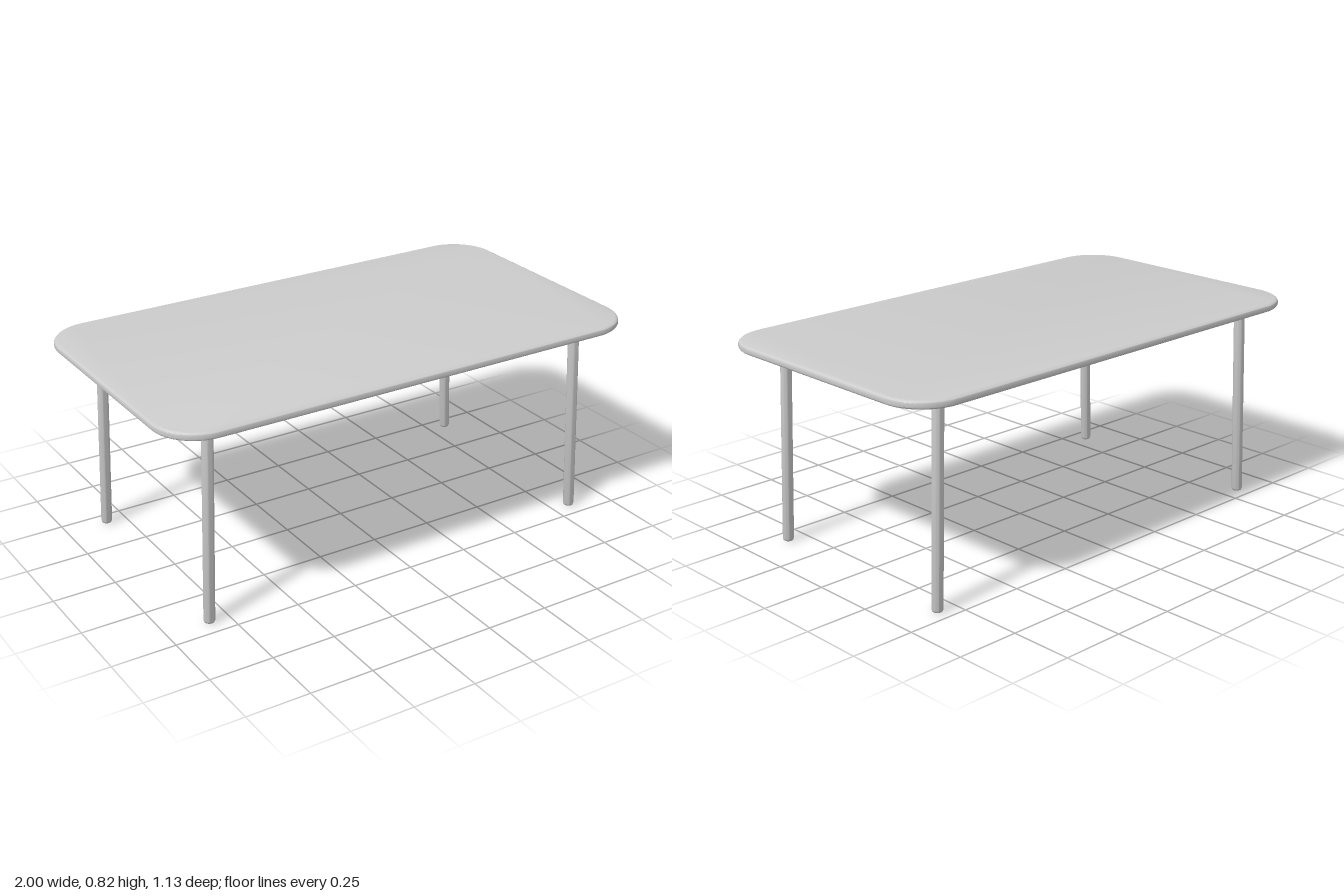
import * as THREE from 'three';
import { toCreasedNormals } from 'three/addons/utils/BufferGeometryUtils.js';

const material = new THREE.MeshStandardMaterial({ color: 0xcccccc });

// Rounded rectangle slab with a fully rounded rim
function makeTop() {
  const bevel = 0.015, x = 1 - bevel, z = 0.563 - bevel, r = 0.16;
  const shape = new THREE.Shape();
  shape.absarc(x - r, z - r, r, 0, Math.PI / 2);
  shape.absarc(-x + r, z - r, r, Math.PI / 2, Math.PI);
  shape.absarc(-x + r, -z + r, r, Math.PI, Math.PI * 1.5);
  shape.absarc(x - r, -z + r, r, Math.PI * 1.5, Math.PI * 2);
  const geometry = new THREE.ExtrudeGeometry(shape, {
    depth: 0.002, bevelSize: bevel, bevelThickness: bevel, bevelSegments: 6, curveSegments: 16,
  });
  geometry.rotateX(-Math.PI / 2);
  const top = new THREE.Mesh(toCreasedNormals(geometry, 0.6), material);
  top.name = 'tableTop';
  top.position.y = 0.79 + bevel;
  return top;
}

// Round leg with a softened foot, from y = 0 up to the given length
function makeLegGeometry(length) {
  const r = 0.0215;
  const profile = [[0, 0], [0.014, 0], [0.0185, 0.003], [r, 0.011], [r, length], [0, length]];
  const lathe = new THREE.LatheGeometry(profile.map(([x, y]) => new THREE.Vector2(x, y)), 28);
  return toCreasedNormals(lathe, 0.75);
}

export function createModel() {
  const table = new THREE.Group();
  table.name = 'table';
  table.add(makeTop());

  // Four legs splayed slightly outwards
  const up = new THREE.Vector3(0, 1, 0);
  for (const sx of [1, -1]) {
    for (const sz of [1, -1]) {
      const foot = new THREE.Vector3(sx * 0.83, 0.001, sz * 0.436 - 0.006);
      const head = new THREE.Vector3(sx * 0.803, 0.797, sz * 0.428 - 0.006);
      const axis = head.clone().sub(foot);
      const leg = new THREE.Mesh(makeLegGeometry(axis.length()), material);
      leg.name = (sz > 0 ? 'front' : 'back') + (sx > 0 ? 'Left' : 'Right') + 'Leg';
      leg.position.copy(foot);
      leg.quaternion.setFromUnitVectors(up, axis.normalize());
      table.add(leg);
    }
  }
  return table;
}
